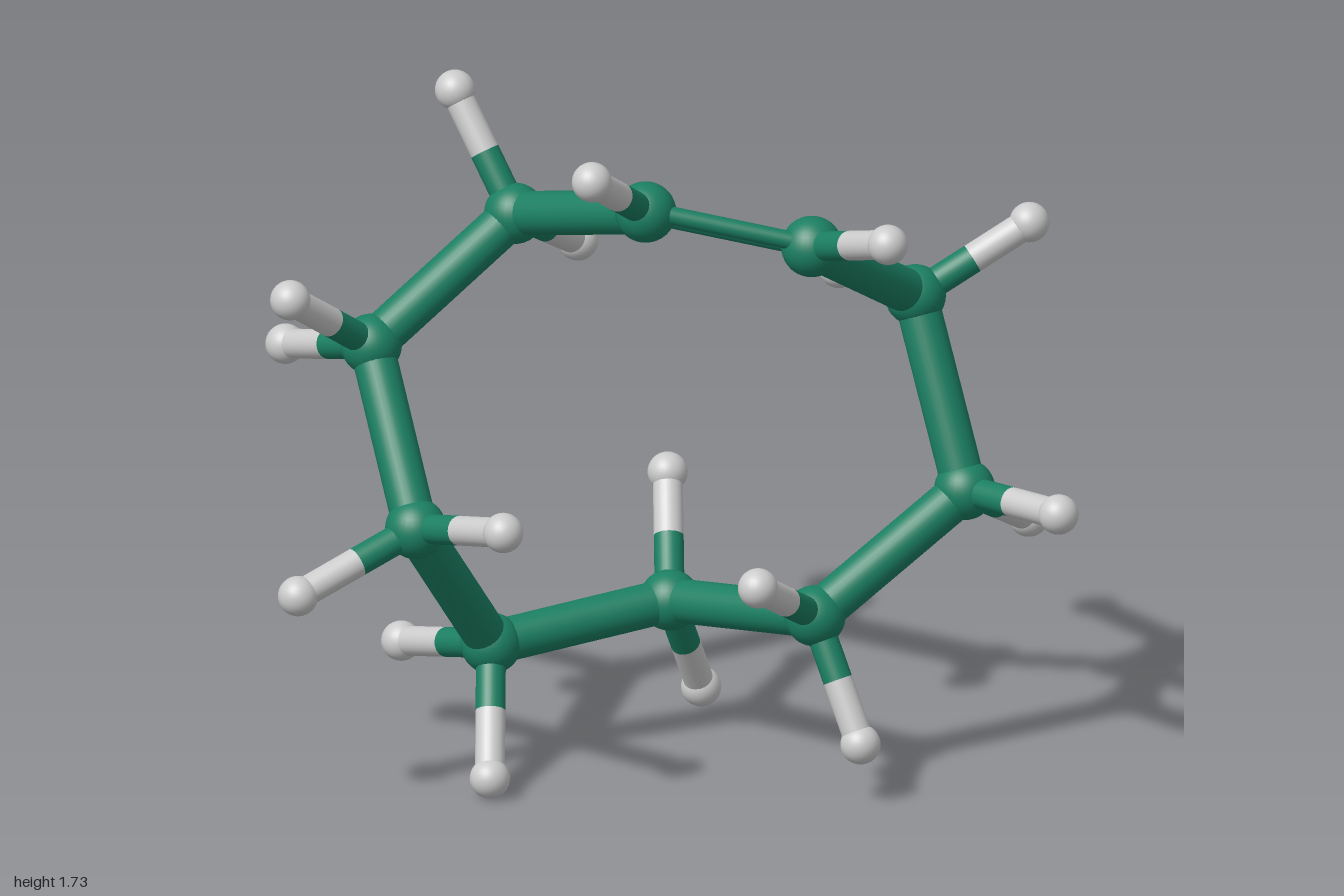
import * as THREE from 'three';

// Ring atoms in order, each with the small atoms attached to it
const ATOMS = [
  { p: [-0.065, 1.515, 0.125], h: [[-0.21, 1.69, 0.39]] },
  { p: [0.345, 1.425, 0.145], h: [[0.52, 1.53, 0.435]] },
  { p: [0.615, 1.185, -0.16], h: [[0.90, 1.35, -0.22], [0.44, 1.15, -0.465]] },
  { p: [0.73, 0.73, 0.0], h: [[0.95, 0.755, 0.265], [0.90, 0.565, -0.255]] },
  { p: [0.353, 0.457, 0.147], h: [[0.20, 0.625, 0.41], [0.46, 0.16, 0.265]] },
  { p: [0.01, 0.377, -0.21], h: [[0.015, 0.633, -0.435], [0.095, 0.09, -0.375]] },
  { p: [-0.44, 0.333, -0.035], h: [[-0.65, 0.247, -0.305], [-0.453, 0.057, 0.185]] },
  { p: [-0.637, 0.72, 0.197], h: [[-0.433, 0.802, 0.47], [-0.935, 0.60, 0.345]] },
  { p: [-0.735, 1.113, -0.06], h: [[-0.945, 1.305, 0.145], [-0.935, 1.02, -0.335]] },
  { p: [-0.373, 1.393, -0.222], h: [[-0.515, 1.675, -0.347], [-0.205, 1.23, -0.472]] },
];
const RING_R = 0.076, END_R = 0.05, BOND_R = 0.055, STEM_R = 0.037, TWIN_R = 0.023, TWIN_GAP = 0.028;

export function createModel() {
  const model = new THREE.Group();
  const green = new THREE.MeshStandardMaterial({ color: 0x1b7f62 });
  const grey = new THREE.MeshStandardMaterial({ color: 0xcccccc });
  const ringBall = new THREE.SphereGeometry(RING_R, 32, 20);
  const endBall = new THREE.SphereGeometry(END_R, 28, 18);
  const up = new THREE.Vector3(0, 1, 0);

  const ball = (parent, name, geometry, material, at) => {
    const mesh = new THREE.Mesh(geometry, material);
    mesh.name = name;
    mesh.position.copy(at);
    parent.add(mesh);
  };
  // Straight rod between two points
  const rod = (parent, name, a, b, radius, material) => {
    const dir = b.clone().sub(a);
    const mesh = new THREE.Mesh(new THREE.CylinderGeometry(radius, radius, dir.length(), 28), material);
    mesh.name = name;
    mesh.position.copy(a).lerp(b, 0.5);
    mesh.quaternion.setFromUnitVectors(up, dir.normalize());
    parent.add(mesh);
  };

  const centres = ATOMS.map(({ p }) => new THREE.Vector3(...p));
  ATOMS.forEach(({ h }, i) => {
    const unit = new THREE.Group();
    unit.name = 'ringUnit' + (i + 1);
    model.add(unit);
    const a = centres[i], b = centres[(i + 1) % centres.length];
    ball(unit, 'ringAtom', ringBall, green, a);

    if (i === 0) {
      // Double bond: two thin rods side by side in the plane of the neighbouring atom
      const dir = b.clone().sub(a).normalize();
      const side = new THREE.Vector3(...h[0]).sub(a);
      side.addScaledVector(dir, -side.dot(dir)).setLength(TWIN_GAP);
      for (const s of [-1, 1]) {
        rod(unit, 'doubleBond', a.clone().addScaledVector(side, s), b.clone().addScaledVector(side, s), TWIN_R, green);
      }
    } else {
      rod(unit, 'ringBond', a, b, BOND_R, green);
    }

    // Outer atoms on stems that change colour halfway
    for (const q of h) {
      const end = new THREE.Vector3(...q);
      const mid = a.clone().lerp(end, 0.5);
      rod(unit, 'innerStem', a, mid, STEM_R, green);
      rod(unit, 'outerStem', mid, end, STEM_R, grey);
      ball(unit, 'outerAtom', endBall, grey, end);
    }
  });
  return model;
}
